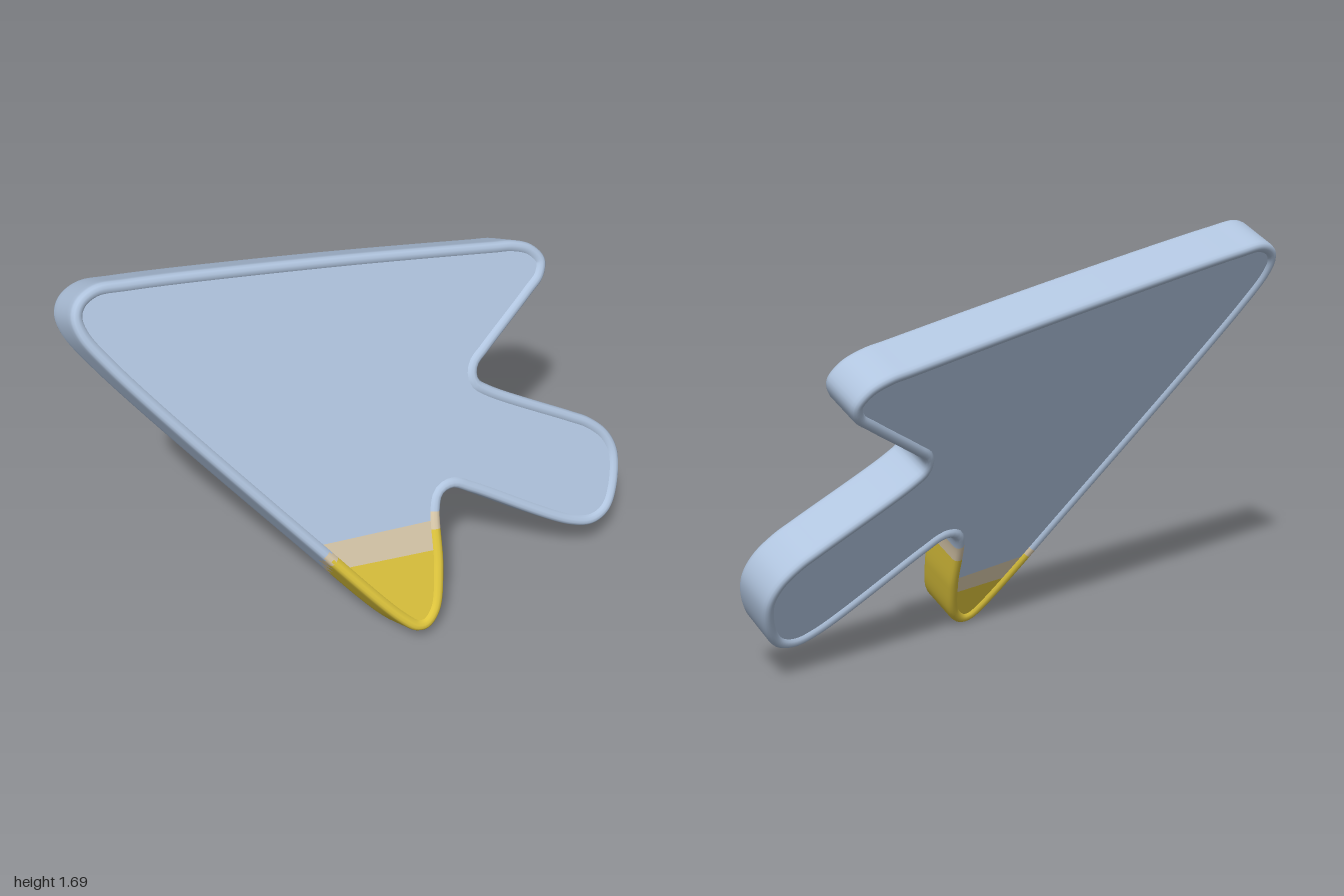
import * as THREE from 'three';

// Plane of the front face: unit normal and distance from the origin
const N = new THREE.Vector3(-0.274, 0.415, 0.868).normalize();
const D = 0.497;
const THICK = 0.21;
const SAMPLES = 420;

// Arrow outline, clockwise, as x and y on the tilted front face
const OUTLINE = [
  [-0.995, 1.54], [-0.99, 1.61], [-0.95, 1.66], [-0.87, 1.69], [-0.74, 1.675],
  [0.01, 1.535], [0.7, 1.39], [0.79, 1.37], [0.866, 1.33], [0.9, 1.265], [0.866, 1.2], [0.786, 1.15],
  [0.52, 1.0], [0.46, 0.963], [0.444, 0.92], [0.48, 0.878],
  [0.8, 0.66], [0.87, 0.61], [0.93, 0.535], [0.946, 0.444], [0.893, 0.31], [0.82, 0.225],
  [0.73, 0.198], [0.626, 0.23], [0.25, 0.508], [0.18, 0.552], [0.13, 0.545], [0.096, 0.497],
  [0.027, 0.283], [-0.053, 0.123], [-0.123, 0.075], [-0.176, 0.08], [-0.23, 0.134],
  [-0.46, 0.524], [-0.94, 1.396],
];

// Half of the rim section: inset from the outline, depth below the front plane
const BEAD = [[0.045, 0.014], [0.037, 0.005], [0.024, 0], [0.011, 0.003], [0.003, 0.011], [0, 0.024]];

export function createModel() {
  const mats = [['steelBlue', 0xb0c4de], ['paleSand', 0xd6c6a8], ['yellow', 0xdcc33c]].map(([name, color]) => {
    const m = new THREE.MeshStandardMaterial({ color });
    m.name = name;
    return m;
  });

  // Local frame with z along the face normal
  const U = new THREE.Vector3(0, 1, 0).cross(N).normalize();
  const V = N.clone().cross(U);
  const arrow = new THREE.Group();
  arrow.name = 'tiltedArrow';
  arrow.quaternion.setFromRotationMatrix(new THREE.Matrix4().makeBasis(U, V, N));

  // Sample the outline in local coordinates
  const curve = new THREE.CatmullRomCurve3(OUTLINE.map(([x, y]) => {
    const p = new THREE.Vector3(x, y, (D - N.x * x - N.y * y) / N.z);
    return new THREE.Vector3(p.dot(U), p.dot(V), 0);
  }), true, 'centripetal');
  curve.arcLengthDivisions = 1500;
  const ring = [];
  for (let i = 0; i < SAMPLES; i++) {
    const p = curve.getPointAt(i / SAMPLES), t = curve.getTangentAt(i / SAMPLES);
    const w = U.clone().multiplyScalar(p.x).addScaledVector(V, p.y).addScaledVector(N, D);
    ring.push({ p, inX: t.y, inY: -t.x, x: w.x, y: w.y });
  }
  const inset = (s, d) => new THREE.Vector2(s.p.x + s.inX * d, s.p.y + s.inY * d);

  // Rim: rounded bead, straight wall, rounded bead
  const wallRows = [0.25, 0.5, 0.75].map((f) => [0, THICK * f]);
  const rows = [...BEAD, ...wallRows, ...BEAD.map(([d, h]) => [d, THICK - h]).reverse()];
  const pos = [];
  for (const [d, h] of rows) {
    for (const s of ring) {
      const q = inset(s, d);
      pos.push(q.x, q.y, D - h);
    }
  }
  const wallColour = (s, f) => {
    if (s.x > 0.16) return 0;
    const right = s.x > -0.13;
    const limit = right ? 0.44 : THREE.MathUtils.lerp(0.45, 0.33, f);
    return s.y < limit ? 2 : s.y < limit + (right ? 0.06 : 0.03) ? 1 : 0;
  };
  const faces = [[], [], []];
  for (let j = 0; j < rows.length - 1; j++) {
    for (let i = 0; i < SAMPLES; i++) {
      const k = (i + 1) % SAMPLES, a = j * SAMPLES, b = a + SAMPLES;
      faces[wallColour(ring[i], rows[j][1] / THICK)].push(a + i, a + k, b + i, a + k, b + k, b + i);
    }
  }
  const rimGeo = new THREE.BufferGeometry();
  rimGeo.setAttribute('position', new THREE.Float32BufferAttribute(pos, 3));
  rimGeo.setIndex(faces.flat());
  let start = 0;
  faces.forEach((f, c) => {
    rimGeo.addGroup(start, f.length, c);
    start += f.length;
  });
  rimGeo.computeVertexNormals();
  const rim = new THREE.Mesh(rimGeo, mats);
  rim.name = 'rim';
  arrow.add(rim);

  // Recessed panels, each cut across the lower prong into body, band and tip
  function addPanels(side, sandLimit, yellowLimit, slope) {
    const back = side === 'back';
    const range = (limit) => {
      const ids = ring.map((s, i) => i).filter((i) => ring[i].x < 0.16 && ring[i].y + slope * ring[i].x < limit);
      return [ids[0], ids[ids.length - 1]];
    };
    const [b0, b1] = range(sandLimit);
    const [t0, t1] = range(yellowLimit);
    const [d, h] = BEAD[0];
    const pts = ring.map((s) => inset(s, d));
    const parts = [
      ['Body', [...pts.slice(0, b0 + 1), ...pts.slice(b1)]],
      ['Band', [...pts.slice(b0, t0 + 1), ...pts.slice(t1, b1 + 1)]],
      ['Tip', pts.slice(t0, t1 + 1)],
    ];
    parts.forEach(([label, outline], c) => {
      const geo = new THREE.ShapeGeometry(new THREE.Shape(
        outline.map((q) => new THREE.Vector2(back ? -q.x : q.x, q.y))));
      if (back) geo.rotateY(Math.PI);
      geo.translate(0, 0, back ? D - THICK + h : D - h);
      const mesh = new THREE.Mesh(geo, mats[c]);
      mesh.name = side + label;
      arrow.add(mesh);
    });
  }
  addPanels('front', 0.475, 0.365, 0.09);
  addPanels('back', 0.33, 0.24, 0);

  const model = new THREE.Group();
  model.name = 'pointerArrow';
  model.add(arrow);
  return model;
}
